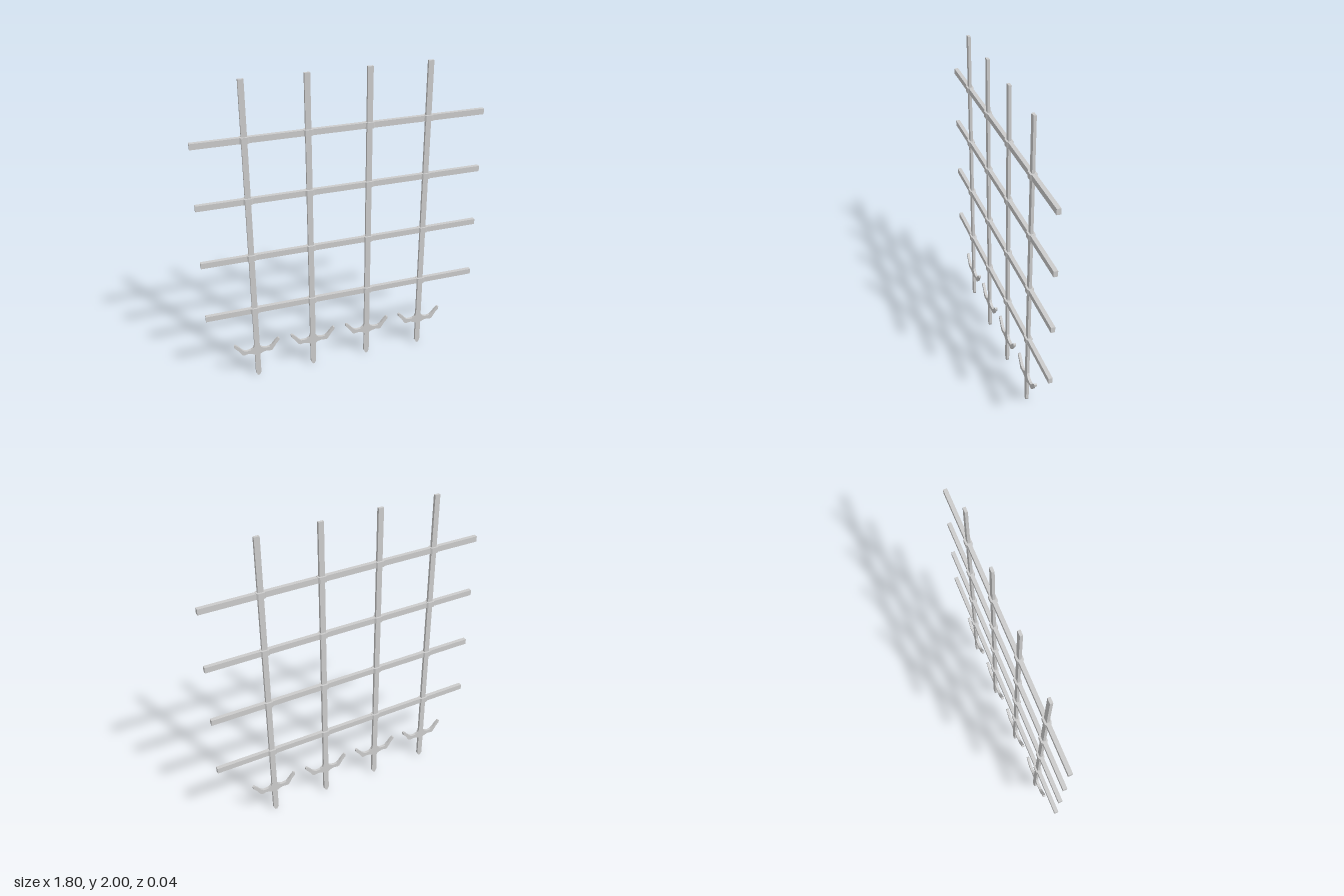
import * as THREE from 'three';

const material = new THREE.MeshStandardMaterial({ color: 0xcccccc, flatShading: true });

const barX = [-0.591, -0.216, 0.159, 0.534];
const railY = [0.506, 0.887, 1.267, 1.648];

// Extrudes an outline and centres its thickness on z = 0
function slab(points, depth) {
  const shape = new THREE.Shape(points.map(([x, y]) => new THREE.Vector2(x, y)));
  const geometry = new THREE.ExtrudeGeometry(shape, { depth, bevelEnabled: false });
  return geometry.translate(0, 0, -depth / 2);
}

// Upright with a pointed foot and a pair of curled barbs, as one mirrored outline
function uprightGeometry() {
  const half = [
    [0.006, 0], [0.017, 0.02], [0.017, 0.166], [0.034, 0.176], [0.06, 0.182],
    [0.088, 0.177], [0.1, 0.182], [0.112, 0.2], [0.125, 0.221], [0.147, 0.246],
    [0.148, 0.262], [0.138, 0.265], [0.118, 0.244], [0.1, 0.222], [0.083, 0.208],
    [0.062, 0.205], [0.042, 0.208], [0.025, 0.219], [0.017, 0.237], [0.017, 2],
  ];
  const mirrored = half.map(([x, y]) => [-x, y]).reverse();
  return slab([...half, ...mirrored], 0.017);
}

// Collar with bevelled vertical corners, its section lying in the xz plane
function collarGeometry() {
  const section = [
    [-0.029, -0.012], [-0.019, -0.02], [0.019, -0.02], [0.029, -0.012],
    [0.029, 0.012], [0.019, 0.02], [-0.019, 0.02], [-0.029, 0.012],
  ];
  return slab(section, 0.037).rotateX(-Math.PI / 2);
}

export function createModel() {
  const model = new THREE.Group();
  model.name = 'portcullis';

  const add = (geometry, name, x, y) => {
    const mesh = new THREE.Mesh(geometry, material);
    mesh.name = name;
    mesh.position.set(x, y, 0);
    model.add(mesh);
  };

  const upright = uprightGeometry();
  const collar = collarGeometry();
  const rail = new THREE.BoxGeometry(1.8, 0.036, 0.025);

  barX.forEach((x) => add(upright, 'barbedUpright', x, 0));
  railY.forEach((y) => {
    add(rail, 'crossRail', 0, y);
    barX.forEach((x) => add(collar, 'jointCollar', x, y));
  });
  return model;
}
